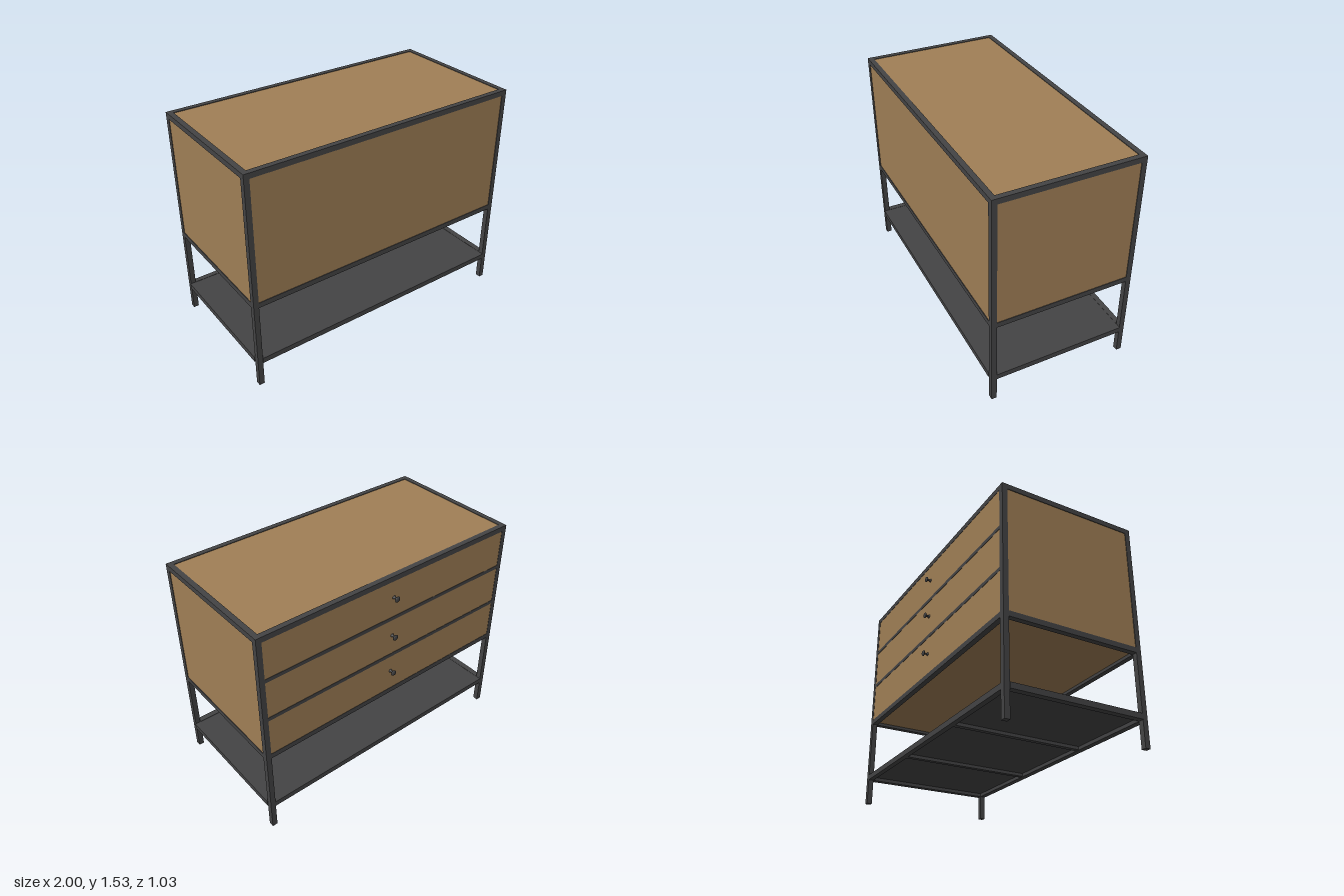
import * as THREE from 'three';

const wood = new THREE.MeshStandardMaterial({ color: 0xa07f56 });
wood.name = 'wood';
const metal = new THREE.MeshStandardMaterial({ color: 0x444445 });
metal.name = 'dark metal';

// Outer extents of the frame and the tube thickness
const X = 0.994, ZF = 0.508, ZB = -0.476, TOP = 1.535, T = 0.036;
const INSET = 0.004;

export function createModel() {
  const group = new THREE.Group();
  group.name = 'drawerCabinet';

  // Box given by its min and max corners
  const box = (name, mat, x0, x1, y0, y1, z0, z1) => {
    const mesh = new THREE.Mesh(new THREE.BoxGeometry(x1 - x0, y1 - y0, z1 - z0), mat);
    mesh.position.set((x0 + x1) / 2, (y0 + y1) / 2, (z0 + z1) / 2);
    mesh.name = name;
    group.add(mesh);
    return mesh;
  };

  // Four full-height corner posts
  for (const x of [-X, X - T])
    for (const z of [ZB, ZF - T]) box('cornerPost', metal, x, x + T, 0, TOP, z, z + T);

  // Rail rings between the posts; "out" lets a ring stand slightly proud
  const ring = (name, y0, y1, out = 0) => {
    box(name + 'FrontRail', metal, -X + T, X - T, y0, y1, ZF - T, ZF + out);
    box(name + 'BackRail', metal, -X + T, X - T, y0, y1, ZB, ZB + T);
    box(name + 'RightRail', metal, -X - out, -X + T, y0, y1, ZB + T, ZF - T);
    box(name + 'LeftRail', metal, X - T, X + out, y0, y1, ZB + T, ZF - T);
  };
  ring('top', TOP - T, TOP);
  ring('body', 0.615, 0.651);
  ring('shelf', 0.176, 0.214, 0.005);

  // Wooden panels set just inside the frame
  const xi = X - T, zf = ZF - T, zb = ZB + T, y0 = 0.651, y1 = TOP - T;
  box('topPanel', wood, -xi, xi, y1, TOP - INSET, zb, zf);
  box('bottomPanel', wood, -xi, xi, 0.636, 0.65, zb, zf);
  box('frontPanel', wood, -xi, xi, y0, y1, zf, ZF - INSET);
  box('rightPanel', wood, -X + INSET, -xi, y0, y1, zb, zf);
  box('leftPanel', wood, xi, X - INSET, y0, y1, zb, zf);

  // Drawer fronts on the back side, with divider rails between them
  const half = 0.013, dividers = [0.935, 1.225];
  const edges = [y0, ...dividers, y1];
  for (let i = 0; i < 3; i++) {
    const lo = edges[i] + (i > 0 ? half : 0);
    const hi = edges[i + 1] - (i < 2 ? half : 0);
    box('drawerFront', wood, -xi, xi, lo, hi, ZB + 0.002, zb);
  }
  for (const y of dividers) box('drawerDivider', metal, -xi, xi, y - half, y + half, ZB, zb);

  // Spool-shaped knobs
  const profile = [[0.013, 0], [0.008, 0.006], [0.006, 0.016], [0.01, 0.023],
    [0.019, 0.028], [0.02, 0.032], [0.016, 0.037], [0, 0.038]]
    .map(([r, h]) => new THREE.Vector2(r, h));
  const knobGeometry = new THREE.LatheGeometry(profile, 20);
  for (const y of [0.8, 1.09, 1.38]) {
    const knob = new THREE.Mesh(knobGeometry, metal);
    knob.name = 'drawerKnob';
    knob.rotation.x = -Math.PI / 2;
    knob.position.set(0, y, ZB + 0.002);
    group.add(knob);
  }

  // Lower shelf plate with two supports beneath
  box('shelfPlate', metal, -xi, xi, 0.2, 0.212, zb, zf);
  for (const x of [-0.345, 0.345]) box('shelfSupport', metal, x - 0.016, x + 0.016, 0.178, 0.2, zb, zf);

  return group;
}
